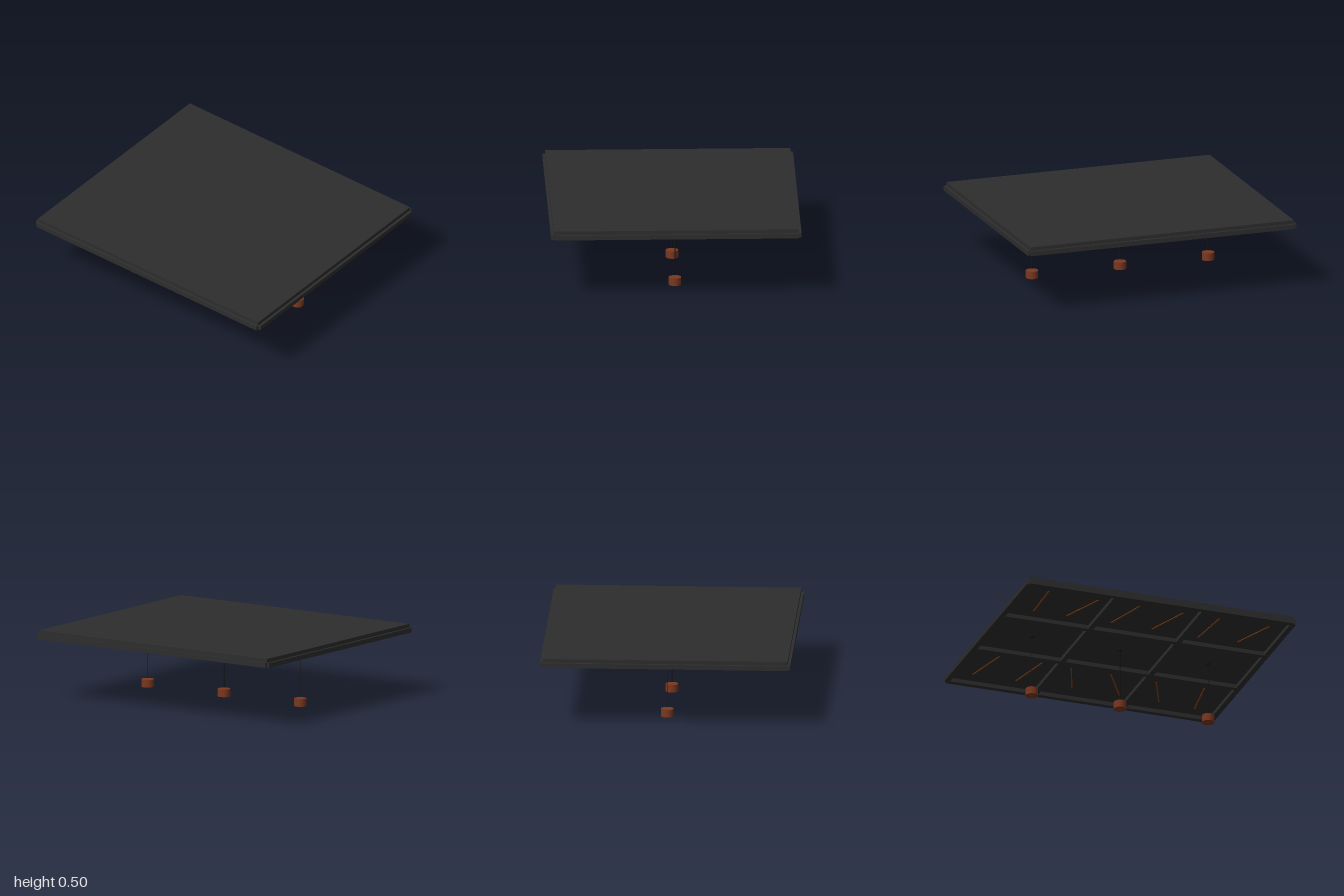
import * as THREE from 'three';

export function createModel() {
  const model = new THREE.Group();
  const mat = (name, color, side = THREE.FrontSide) => {
    const m = new THREE.MeshStandardMaterial({ color, side });
    m.name = name;
    return m;
  };
  const charcoal = mat('charcoal', 0x2d2d2d);
  const black = mat('black', 0x151515);
  const copper = mat('copper', 0x7a3820, THREE.DoubleSide);
  const amber = mat('amber', 0x8b4513);

  const add = (parent, name, geo, material, x, y, z) => {
    const mesh = new THREE.Mesh(geo, material);
    mesh.name = name;
    mesh.position.set(x, y, z);
    parent.add(mesh);
    return mesh;
  };

  // Ceiling slab
  const W = 1.715, D = 1.96, under = 0.469;
  add(model, 'ceilingSlab', new THREE.BoxGeometry(W, 0.031, D), charcoal, 0, 0.4845, 0);

  // Beams: four in each direction, the outer ones straddling the slab edges
  for (let i = 0; i < 4; i++) {
    const t = i / 3 - 0.5;
    add(model, 'longBeam', new THREE.BoxGeometry(0.038, 0.034, D), charcoal, t * W, 0.457, 0);
    add(model, 'crossBeam', new THREE.BoxGeometry(W, 0.033, 0.038), charcoal, 0, 0.457, t * D);
  }

  // Thin slanted inlay strips in the side coffers: x1, z1, x2, z2
  const strips = [
    [0.73, -0.83, 0.39, -0.755], [0.73, -0.51, 0.39, -0.44],
    [0.715, -0.10, 0.41, -0.215], [0.71, 0.25, 0.41, 0.08],
    [0.715, 0.545, 0.42, 0.42], [0.74, 0.82, 0.40, 0.77],
    [-0.40, -0.785, -0.74, -0.795], [-0.405, -0.54, -0.72, -0.42],
    [-0.40, -0.21, -0.72, -0.115], [-0.40, 0.095, -0.72, 0.21],
    [-0.375, 0.445, -0.72, 0.48], [-0.40, 0.73, -0.71, 0.85],
  ];
  for (const [x1, z1, x2, z2] of strips) {
    const length = Math.hypot(x2 - x1, z2 - z1);
    const strip = add(model, 'inlayStrip', new THREE.BoxGeometry(length, 0.004, 0.009), amber,
      (x1 + x2) / 2, under - 0.002, (z1 + z2) / 2);
    strip.rotation.y = -Math.atan2(z2 - z1, x2 - x1);
  }

  // Pendant lamps along the centre line
  for (const z of [-0.655, 0, 0.655]) {
    const lamp = new THREE.Group();
    lamp.name = 'pendantLamp';
    lamp.position.z = z;
    add(lamp, 'canopy', new THREE.CylinderGeometry(0.014, 0.014, 0.01, 16), black, 0, under - 0.005, 0);
    add(lamp, 'cord', new THREE.CylinderGeometry(0.0025, 0.0025, 0.394, 8), black, 0, 0.272, 0);
    add(lamp, 'shade', new THREE.CylinderGeometry(0.044, 0.044, 0.054, 24), copper, 0, 0.036, 0);
    add(lamp, 'bulb', new THREE.SphereGeometry(0.016, 16, 12), copper, 0, 0.016, 0);
    model.add(lamp);
  }
  return model;
}
